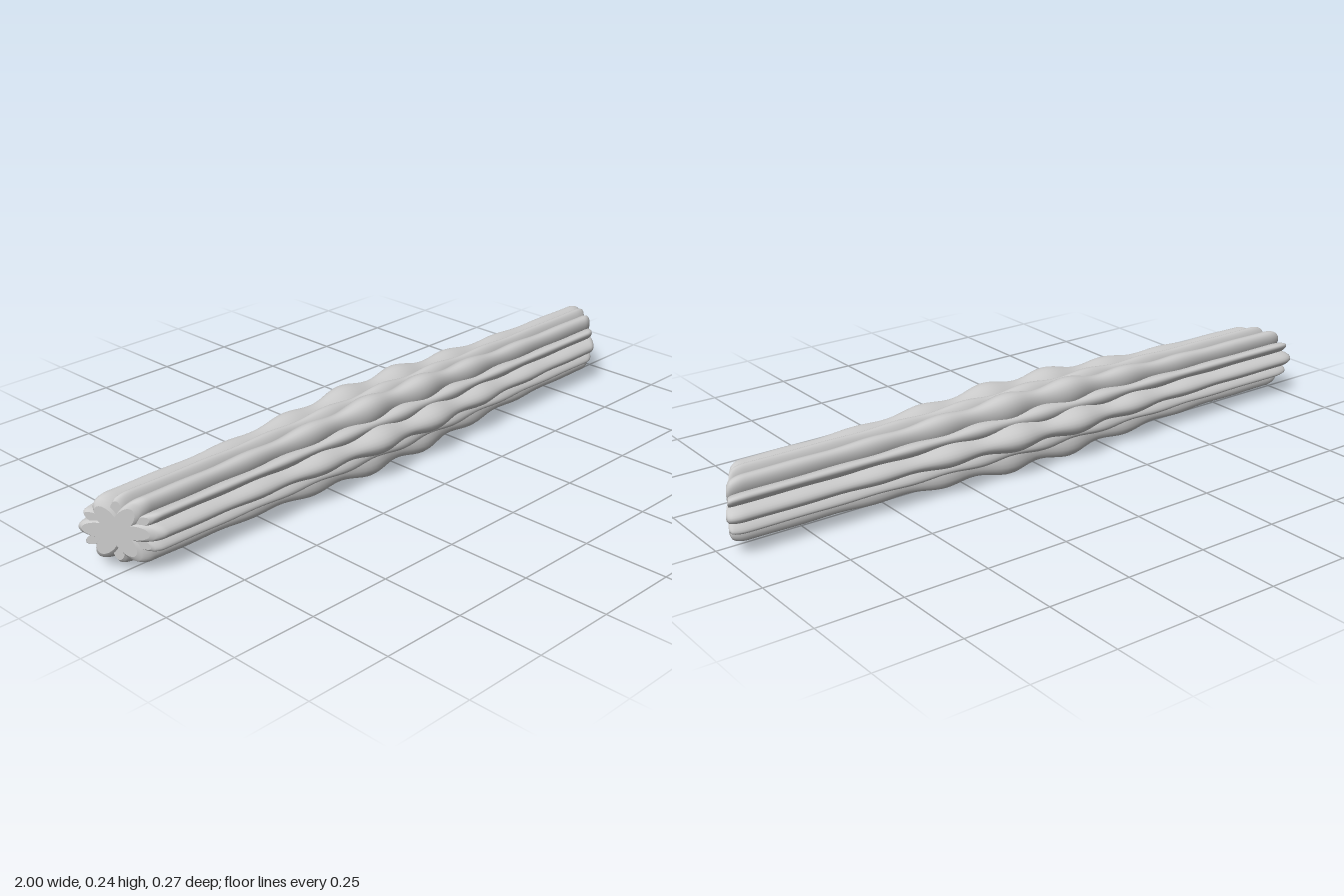
import * as THREE from 'three';

const AXIS_Y = 0.124; // height of the long axis
const HALF = 0.952; // half length on the axis
const SLANT = 0.63; // slope of the cut ends

// Radial reach and half width of a rib at position x along the bundle
const swell = (x) => Math.exp(-((x / 0.4) ** 2));
const ripple = (x) => Math.cos((2 * Math.PI * x) / 0.225) * Math.exp(-((x / 0.5) ** 2));
const mainRib = {
  reach: (x) => 0.103 + 0.026 * swell(x) - 0.009 * ripple(x),
  width: (x) => 0.027 + 0.013 * swell(x) - 0.006 * ripple(x),
  tip: 0.74, half: HALF,
};
const fillRib = {
  reach: (x) => 0.099 + 0.009 * swell(x) + 0.005 * ripple(x),
  width: (x) => 0.018 + 0.011 * swell(x) + 0.004 * ripple(x),
  tip: 0.84, half: HALF - 0.006,
};

// One rib: an elliptical bar from the axis outwards, rippled along its length,
// rounded off near the ends and cut on a slanted plane
function ribGeometry(rib, angle) {
  const geo = new THREE.CylinderGeometry(1, 1, 2, 28, 140);
  const p = geo.attributes.position;
  const s = Math.sin(angle), c = Math.cos(angle);
  for (let i = 0; i < p.count; i++) {
    const across = p.getX(i), outward = 1 - p.getZ(i);
    const t = 0.4 * p.getY(i) + 0.6 * Math.sin((Math.PI / 2) * p.getY(i));
    const x = t * rib.half;
    // quarter-round shoulder over the last stretch
    const k = Math.max(0, (Math.abs(t) - 0.955) / 0.045);
    const end = 1 - (1 - rib.tip) * (1 - Math.sqrt(Math.max(0, 1 - k * k)));
    const r = 0.5 * rib.reach(x) * end * outward;
    const v = rib.width(x) * end * across;
    const y = r * s + v * c;
    const z = r * c - v * s;
    p.setXYZ(i, x - Math.sign(t) * Math.abs(t) ** 8 * SLANT * z, AXIS_Y + y, z);
  }
  geo.computeVertexNormals();
  return geo;
}

export function createModel() {
  const model = new THREE.Group();
  model.name = 'ribbedBundle';
  const material = new THREE.MeshStandardMaterial({ color: 0xcccccc });

  // Six broad ribs alternating with six slimmer ones
  for (let i = 0; i < 12; i++) {
    const isMain = i % 2 === 0;
    const mesh = new THREE.Mesh(ribGeometry(isMain ? mainRib : fillRib, (i * Math.PI) / 6), material);
    mesh.name = (isMain ? 'mainRib' : 'fillRib') + (Math.floor(i / 2) + 1);
    model.add(mesh);
  }
  return model;
}
